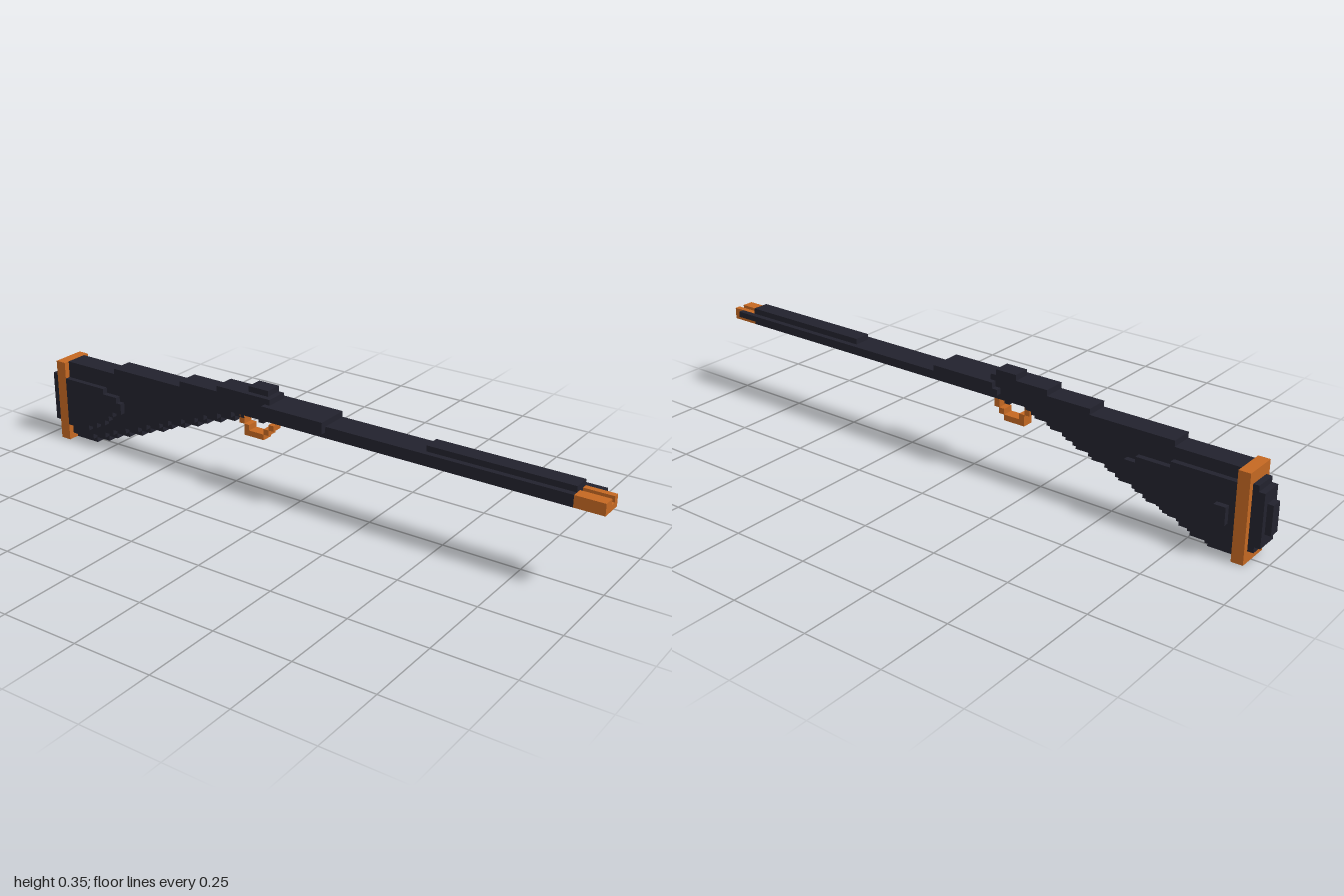
import * as THREE from 'three';
import { mergeGeometries } from 'three/addons/utils/BufferGeometryUtils.js';

const V = 2 / 109; // edge of one block; the grid is 109 x 19 x 7 blocks

const dark = new THREE.MeshStandardMaterial({ color: 0x22222d });
dark.name = 'dark metal';
const orange = new THREE.MeshStandardMaterial({ color: 0xc46822 });
orange.name = 'copper orange';

// Box over inclusive block ranges: x, y (row), z (0 = back, 6 = front)
function block(x0, x1, y0, y1, z0, z1) {
  const g = new THREE.BoxGeometry((x1 - x0 + 1) * V, (y1 - y0 + 1) * V, (z1 - z0 + 1) * V);
  return g.translate((x0 + x1 + 1) / 2 * V - 1, (y0 + y1 + 1) / 2 * V, ((z0 + z1 + 1) / 2 - 3.5) * V);
}

function part(name, material, blocks) {
  const mesh = new THREE.Mesh(mergeGeometries(blocks.map((b) => block(...b))), material);
  mesh.name = name;
  return mesh;
}

export function createModel() {
  const group = new THREE.Group();
  group.name = 'longGun';

  // Rounded pad behind the butt plate
  group.add(part('buttPad', dark, [
    [0, 0, 5, 9, 3, 4],
    [1, 1, 3, 11, 2, 5],
    [2, 2, 2, 12, 2, 5],
  ]));
  group.add(part('buttPlate', orange, [[3, 4, 0, 14, 1, 6]]));

  // Stock in rows, each reaching further forward; the lower edge is rounded
  const rowEnd = (r) => Math.round(9 + 2.64 * r);
  const stock = [];
  for (let r = 0; r < 14; r++) {
    stock.push([5, rowEnd(r), r, r, 3, 4]);
    if (r > 0) stock.push([5, rowEnd(r - 1), r, r, 2, 5]);
  }
  stock.push([5, 48, 14, 14, 2, 5], [16, 48, 15, 15, 2, 5]);
  group.add(part('stock', dark, stock));

  // Raised cheeks on both faces of the stock
  const frontEnds = [9, 11, 13, 14, 15, 17, 17, 16, 13];
  group.add(part('frontCheek', dark, frontEnds.map((e, k) => [5, e, 3 + k, 3 + k, 6, 6])));
  const backEnds = [11, 13, 15, 17, 18, 20, 21, 23, 23, 21, 15];
  group.add(part('backCheek', dark, backEnds.map((e, k) => [5, e, 2 + k, 2 + k, 1, 1])));
  group.add(part('stockStud', dark, [[6, 7, 6, 8, 0, 0]]));

  // Stepped receiver
  group.add(part('receiver', dark, [
    [31, 48, 16, 16, 2, 5],
    [39, 49, 17, 17, 2, 5],
    [45, 48, 18, 18, 2, 4],
  ]));

  // Barrel with side rail, fore-end and top rib
  group.add(part('barrel', dark, [[49, 103, 14, 15, 2, 5]]));
  group.add(part('sideRail', dark, [[48, 106, 15, 15, 1, 1]]));
  group.add(part('foreEnd', dark, [
    [49, 60, 16, 16, 1, 6],
    [49, 60, 15, 15, 6, 6],
  ]));
  group.add(part('topRib', dark, [[79, 103, 16, 16, 2, 4]]));

  // Pronged muzzle
  group.add(part('muzzle', orange, [
    [104, 108, 14, 14, 2, 5],
    [104, 108, 15, 15, 4, 5],
    [104, 108, 15, 15, 2, 2],
  ]));

  // Trigger and its guard loop
  group.add(part('triggerGuard', orange, [
    [43, 43, 12, 13, 3, 4],
    [44, 44, 11, 11, 3, 4],
    [44, 47, 10, 10, 3, 4],
    [48, 48, 11, 11, 3, 4],
    [49, 49, 12, 13, 3, 3],
    [49, 49, 12, 12, 4, 4],
  ]));
  group.add(part('trigger', dark, [[47, 47, 13, 13, 3, 4]]));

  return group;
}
